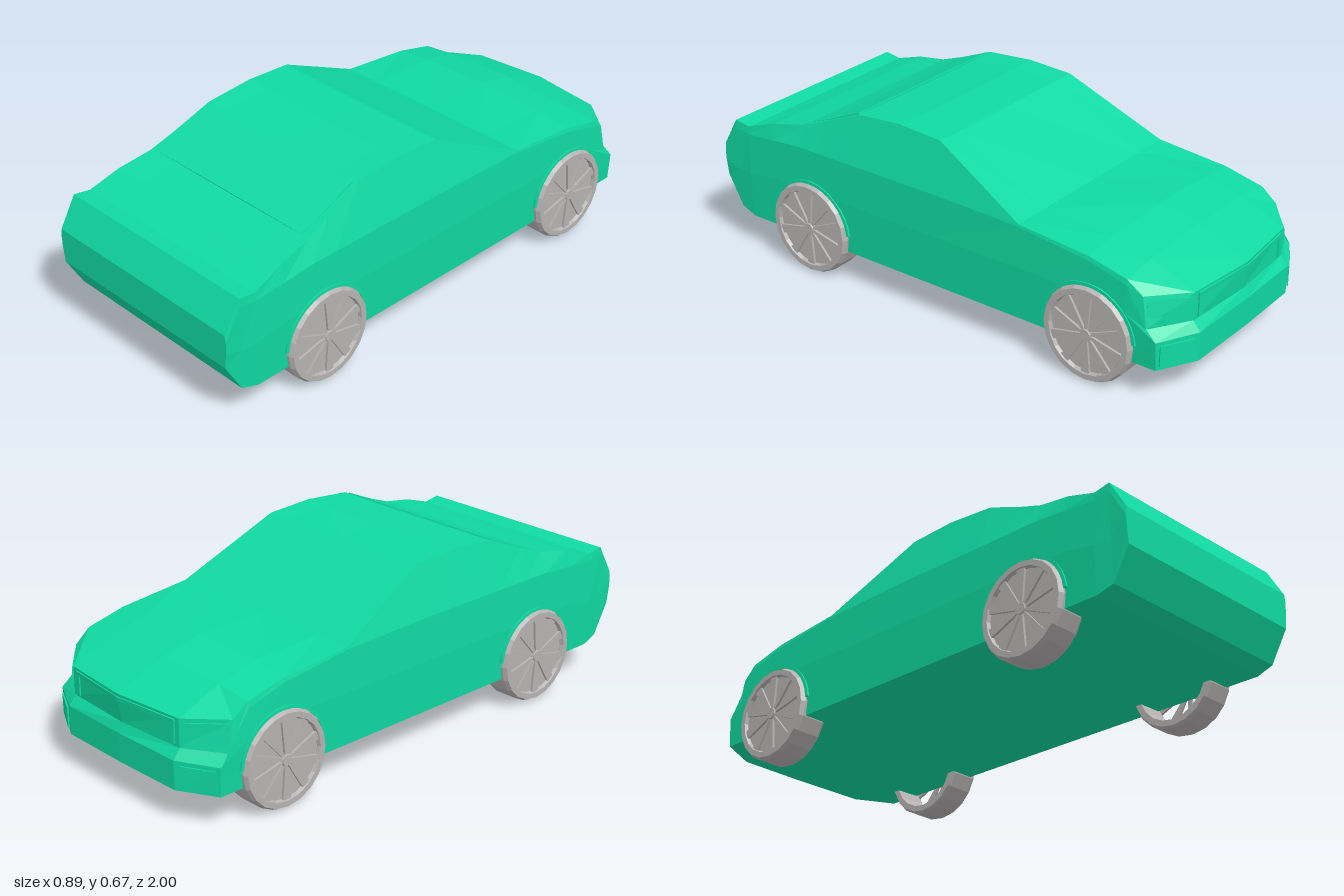
import * as THREE from 'three';

const green = new THREE.MeshStandardMaterial({ color: 0x10d9a2 });
green.name = 'body green';
green.flatShading = true;
const grey = new THREE.MeshStandardMaterial({ color: 0xb6b2b2 });
grey.name = 'wheel grey';
grey.flatShading = true;

function mesh(name, geometry, material) {
  const m = new THREE.Mesh(geometry, material);
  m.name = name;
  return m;
}

// Collects quads (corners anticlockwise from outside) into a flat-shaded geometry
function quads(list) {
  const pos = [];
  for (const [a, b, c, d] of list) pos.push(...a, ...b, ...c, ...a, ...c, ...d);
  const g = new THREE.BufferGeometry();
  g.setAttribute('position', new THREE.Float32BufferAttribute(pos, 3));
  g.computeVertexNormals();
  return g;
}

const flip = ([x, y, z]) => [-x, y, z];

// Half cross-section, from the floor centre round the side to the top centre
function section([z, bottom, mid, belt, edgeX, edgeY, top]) {
  const w = z > 0.9 ? 0.415 : 0.42;
  const shoulder = edgeY + (top - edgeY) * 0.6;
  return [
    [0, bottom, z], [0.28, bottom, z], [w, bottom, z], [z > 0.9 ? 0.422 : 0.428, mid, z],
    [0.424, belt, z], [edgeX, edgeY, z], [0.28, shoulder, z], [0, top, z],
  ];
}

// z, floor, widest height, belt, top edge x, top edge y, top centre y
const stations = [
  [1.0, 0.26, 0.32, 0.36, 0.42, 0.39, 0.39],
  [0.935, 0.145, 0.3, 0.47, 0.422, 0.5, 0.5],
  [0.87, 0.125, 0.3, 0.46, 0.42, 0.49, 0.49],
  [0.75, 0.125, 0.32, 0.47, 0.408, 0.53, 0.525],
  [0.62, 0.125, 0.32, 0.48, 0.393, 0.555, 0.55],
  [0.52, 0.125, 0.32, 0.48, 0.384, 0.592, 0.588],
  [0.37, 0.125, 0.32, 0.48, 0.37, 0.655, 0.65],
  [0.18, 0.125, 0.32, 0.48, 0.37, 0.67, 0.665],
  [0.0, 0.125, 0.32, 0.48, 0.372, 0.66, 0.658],
  [-0.37, 0.125, 0.32, 0.472, 0.422, 0.48, 0.48],
  [-0.65, 0.125, 0.32, 0.44, 0.42, 0.455, 0.48],
  [-0.8, 0.125, 0.3, 0.4, 0.42, 0.42, 0.447],
];

// Nose face: rows from the lip up to the bonnet, columns from centre to corner
const nose = [
  [[0, 0.125, -1], [0.28, 0.125, -0.995], [0.42, 0.125, -0.92]],
  [[0, 0.23, -1], [0.28, 0.23, -0.995], [0.426, 0.23, -0.92]],
  [[0, 0.265, -0.985], [0.28, 0.265, -0.968], [0.422, 0.265, -0.88]],
  [[0, 0.37, -0.997], [0.28, 0.368, -0.968], [0.415, 0.375, -0.86]],
];

function bodyGeometry() {
  const halves = stations.map(section);
  halves.push([...nose[0], nose[1][2], nose[2][2], nose[3][2], nose[3][1], nose[3][0]]);
  const faces = [];
  const rings = halves.map((h) => [...h, ...h.slice(1, -1).reverse().map(flip)]);
  for (let s = 0; s < rings.length - 1; s++) {
    const n = rings[s].length;
    for (let i = 0; i < n; i++) {
      const j = (i + 1) % n;
      faces.push([rings[s][i], rings[s + 1][i], rings[s + 1][j], rings[s][j]]);
    }
  }
  // Tail face
  const tail = halves[0];
  for (const [i, j] of [[2, 3], [3, 4], [4, 5]]) {
    faces.push([flip(tail[i]), tail[i], tail[j], flip(tail[j])]);
  }
  // Nose face
  for (let r = 0; r < nose.length - 1; r++) {
    for (let c = 0; c < 2; c++) {
      const a = nose[r][c], b = nose[r][c + 1], d = nose[r + 1][c], e = nose[r + 1][c + 1];
      faces.push([b, a, d, e], [flip(a), flip(b), flip(e), flip(d)]);
    }
  }
  return quads(faces);
}

// Thin raised plate on four anticlockwise corners
function plate(p, t = 0.008) {
  const v = p.map((q) => new THREE.Vector3(...q));
  const n = v[1].clone().sub(v[0]).cross(v[2].clone().sub(v[0])).normalize().multiplyScalar(t);
  const o = v.map((q) => q.clone().add(n).toArray());
  const faces = [o];
  for (let i = 0; i < 4; i++) {
    const j = (i + 1) % 4;
    faces.push([p[i], p[j], o[j], o[i]]);
  }
  return quads(faces);
}

// Wheel with its outer face toward +z, measured from the car's centre line
function makeWheel() {
  const wheel = new THREE.Group();
  const profile = [
    [0.146, 0.33], [0.168, 0.33], [0.175, 0.342], [0.175, 0.43],
    [0.167, 0.446], [0.147, 0.446], [0.142, 0.434], [0.146, 0.33],
  ].map(([r, h]) => new THREE.Vector2(r, h));
  wheel.add(mesh('tyre', new THREE.LatheGeometry(profile, 20).rotateX(Math.PI / 2), grey));
  wheel.add(mesh('rimDisc', new THREE.CircleGeometry(0.144, 20).translate(0, 0, 0.432), grey));
  const hub = new THREE.CylinderGeometry(0.02, 0.024, 0.014, 10).rotateX(Math.PI / 2);
  wheel.add(mesh('hub', hub.translate(0, 0, 0.439), grey));
  const shape = new THREE.Shape([[-0.005, 0.015], [0.005, 0.015], [0.017, 0.144], [-0.017, 0.144]]
    .map(([x, y]) => new THREE.Vector2(x, y)));
  for (let i = 0; i < 10; i++) {
    const g = new THREE.ExtrudeGeometry(shape, { depth: 0.009, bevelEnabled: false });
    wheel.add(mesh('spoke', g.translate(0, 0, 0.432).rotateZ((i * Math.PI) / 5), grey));
  }
  return wheel;
}

// Wheel arch lip in the same frame as the wheel
function archGeometry() {
  const s = new THREE.Shape();
  s.absarc(0, 0, 0.186, 0.1, Math.PI - 0.1, false);
  s.absarc(0, 0, 0.174, Math.PI - 0.1, 0.1, true);
  return new THREE.ExtrudeGeometry(s, { depth: 0.022, bevelEnabled: false, curveSegments: 8 })
    .translate(0, 0, 0.41);
}

export function createModel() {
  const car = new THREE.Group();
  car.name = 'car';
  car.add(mesh('body', bodyGeometry(), green));

  // Sloping window panel between roof and deck
  const glass = [[0.61, 0.554], [0.52, 0.589], [0.38, 0.65]];
  for (let i = 0; i < 2; i++) {
    const [z0, y0] = glass[i], [z1, y1] = glass[i + 1];
    car.add(mesh('windowPanel', plate([[-0.357, y0, z0], [0.357, y0, z0], [0.357, y1, z1], [-0.357, y1, z1]], 0.004), green));
  }

  // Nose details, mirrored
  const parts = [
    ['headlight', [[0.41, 0.285, -0.876], [0.29, 0.28, -0.962], [0.29, 0.355, -0.962], [0.405, 0.36, -0.866]]],
    ['bumperCorner', [[0.41, 0.14, -0.925], [0.3, 0.14, -0.985], [0.3, 0.215, -0.985], [0.41, 0.215, -0.926]]],
    ['grilleUpperBar', [[0.26, 0.345, -0.968], [0, 0.345, -0.993], [0, 0.36, -0.994], [0.26, 0.36, -0.969]]],
    ['grilleEndBar', [[0.26, 0.275, -0.969], [0.24, 0.275, -0.971], [0.24, 0.345, -0.971], [0.26, 0.345, -0.969]]],
  ];
  for (const [name, p] of parts) {
    car.add(mesh(name, plate(p, 0.006), green));
    car.add(mesh(name, plate(p.map(flip).reverse(), 0.006), green));
  }

  // Wheels and arches
  for (const side of [1, -1]) {
    for (const z of [0.57, -0.66]) {
      const wheel = makeWheel();
      wheel.name = z > 0 ? 'frontWheel' : 'backWheel';
      const arch = mesh('wheelArch', archGeometry(), green);
      for (const part of [wheel, arch]) {
        part.rotation.y = (side * Math.PI) / 2;
        part.position.set(0, 0.175, z);
        car.add(part);
      }
    }
  }
  return car;
}
